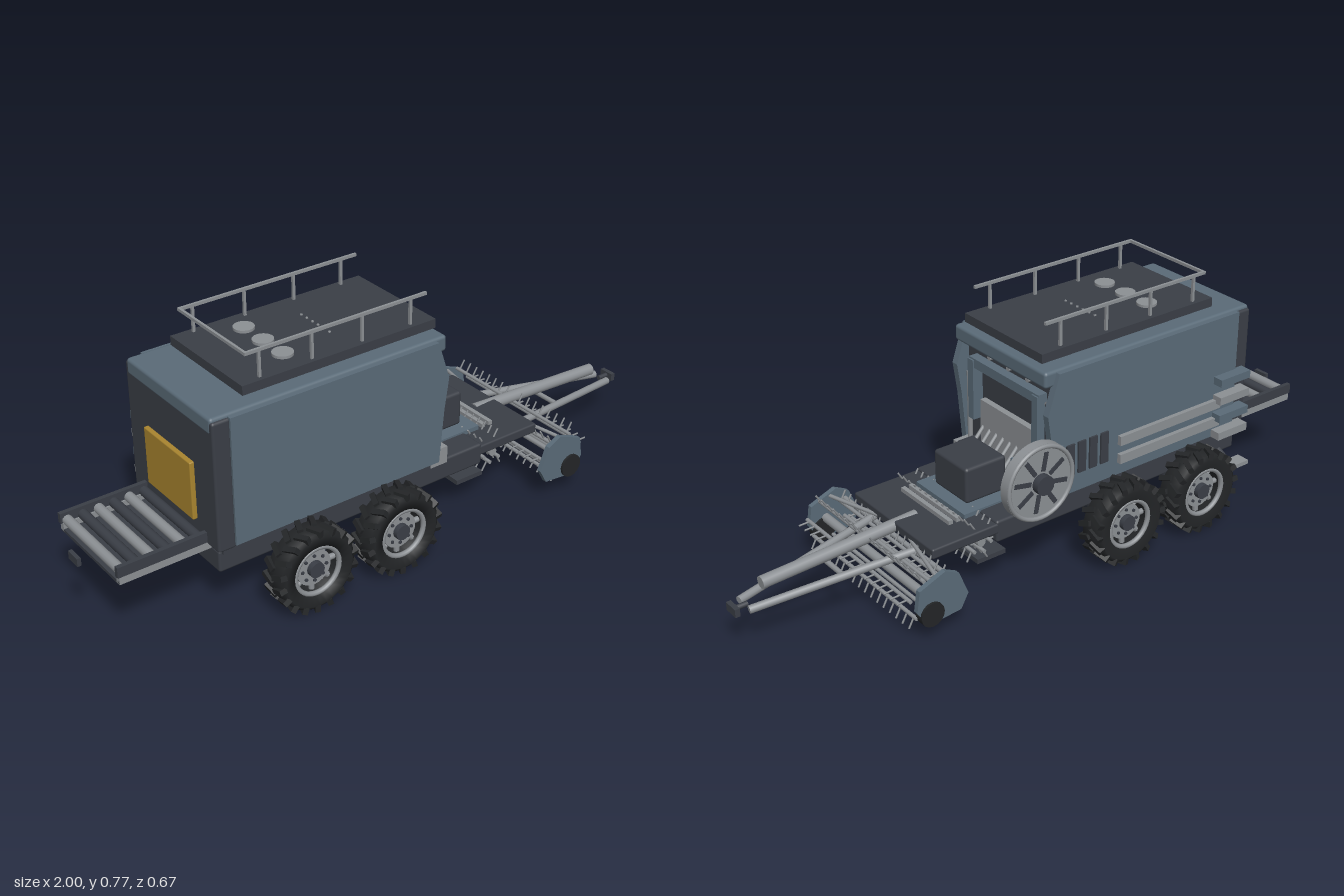
import * as THREE from 'three';
import { RoundedBoxGeometry } from 'three/addons/geometries/RoundedBoxGeometry.js';

const mat = (c) => new THREE.MeshStandardMaterial({ color: c });
const BLUE = mat(0x5a6b78), DARK = mat(0x3a3e46), BLACK = mat(0x232527), GREY = mat(0x8c9094), YELLOW = mat(0xa9852f);

export function createModel() {
  const root = new THREE.Group();
  const group = (name, parent = root) => {
    const g = new THREE.Group();
    g.name = name;
    parent.add(g);
    return g;
  };
  const add = (parent, name, geo, m, x = 0, y = 0, z = 0) => {
    const mesh = new THREE.Mesh(geo, m);
    mesh.name = name;
    mesh.position.set(x, y, z);
    parent.add(mesh);
    return mesh;
  };
  // Box given by its minimum and maximum on each axis, optionally rounded
  const box = (p, name, m, [x0, x1], [y0, y1], [z0, z1], r = 0) => add(p, name,
    r ? new RoundedBoxGeometry(x1 - x0, y1 - y0, z1 - z0, 2, r) : new THREE.BoxGeometry(x1 - x0, y1 - y0, z1 - z0),
    m, (x0 + x1) / 2, (y0 + y1) / 2, (z0 + z1) / 2);
  // Round bar between two points
  const rod = (p, name, m, a, b, r, sides = 8) => {
    const A = new THREE.Vector3(...a), B = new THREE.Vector3(...b), d = B.clone().sub(A);
    const mesh = add(p, name, new THREE.CylinderGeometry(r, r, d.length(), sides), m, ...A.add(B).multiplyScalar(0.5).toArray());
    mesh.quaternion.setFromUnitVectors(new THREE.Vector3(0, 1, 0), d.normalize());
    return mesh;
  };
  // Side profile in x, y extruded from z0 to z1
  const plate = (p, name, m, pts, z0, z1) => add(p, name, new THREE.ExtrudeGeometry(
    new THREE.Shape(pts.map(([x, y]) => new THREE.Vector2(x, y))), { depth: z1 - z0, bevelEnabled: false }), m, 0, 0, z0);

  // Chassis
  const chassis = group('chassis');
  box(chassis, 'bed', DARK, [-0.67, 0.26], [0.16, 0.23], [-0.2, 0.2], 0.008);
  box(chassis, 'frontDeck', DARK, [0.25, 0.48], [0.19, 0.222], [-0.2, 0.2], 0.006);
  box(chassis, 'deckPlate', BLUE, [0.13, 0.315], [0.22, 0.236], [-0.12, 0.12]);
  for (const x of [0.335, 0.362]) box(chassis, 'deckBar', GREY, [x - 0.007, x + 0.007], [0.22, 0.235], [-0.12, 0.12]);
  box(chassis, 'standFoot', DARK, [0.2, 0.3], [0.085, 0.1], [-0.16, 0.16]);
  for (const z of [-0.1, 0.1]) rod(chassis, 'standLeg', GREY, [0.25, 0.095, z], [0.22, 0.18, z], 0.012);
  box(chassis, 'sideStep', GREY, [-0.66, -0.56], [0.137, 0.15], [-0.28, -0.235]);
  rod(chassis, 'stepBracket', DARK, [-0.61, 0.142, -0.25], [-0.61, 0.18, -0.18], 0.008);

  // Wheels with staggered tread lugs
  const tireGeo = new THREE.LatheGeometry([[0.078, -0.036], [0.11, -0.043], [0.122, -0.034], [0.124, 0],
    [0.122, 0.034], [0.11, 0.043], [0.078, 0.036], [0.078, -0.036]].map(([x, y]) => new THREE.Vector2(x, y)), 32);
  const lugGeo = new THREE.BoxGeometry(0.016, 0.022, 0.045);
  for (const x of [-0.432, -0.133]) {
    rod(chassis, 'axle', DARK, [x, 0.135, -0.27], [x, 0.135, 0.27], 0.024, 12);
    for (const s of [-1, 1]) {
      const wheel = group('wheel');
      wheel.position.set(x, 0.135, s * 0.288);
      add(wheel, 'tire', tireGeo, BLACK).rotation.x = Math.PI / 2;
      for (let i = 0; i < 36; i++) {
        const a = i * Math.PI / 18;
        const lug = add(wheel, 'treadLug', lugGeo, BLACK, Math.cos(a) * 0.121, Math.sin(a) * 0.121, i % 2 ? 0.022 : -0.022);
        lug.rotation.set(0, 0, a - Math.PI / 2);
        lug.rotateY(i % 2 ? 0.4 : -0.4);
      }
      add(wheel, 'rimRing', new THREE.TorusGeometry(0.074, 0.008, 8, 32), GREY, 0, 0, s * 0.03);
      rod(wheel, 'rimDisc', GREY, [0, 0, -0.015], [0, 0, 0.015], 0.056, 24);
      rod(wheel, 'hub', DARK, [0, 0, 0], [0, 0, s * 0.032], 0.024, 16);
      for (let i = 0; i < 8; i++) {
        const a = i * Math.PI / 4, c = Math.cos(a), n = Math.sin(a);
        rod(wheel, 'rimSpoke', GREY, [c * 0.05, n * 0.05, 0], [c * 0.077, n * 0.077, 0], 0.009);
        rod(wheel, 'wheelBolt', DARK, [c * 0.04, n * 0.04, s * 0.01], [c * 0.04, n * 0.04, s * 0.02], 0.005, 6);
      }
    }
  }

  // Body shell
  const body = group('body');
  box(body, 'chamber', DARK, [-0.66, 0.055], [0.22, 0.62], [-0.208, 0.208]);
  box(body, 'rearFrame', DARK, [-0.682, -0.625], [0.24, 0.64], [-0.222, 0.222], 0.008);
  const side = [[-0.63, 0.25], [0.07, 0.25], [0.085, 0.42], [0.1, 0.52], [0.06, 0.643], [-0.63, 0.643]];
  plate(body, 'sidePanel', BLUE, side, 0.205, 0.228);
  plate(body, 'sidePanel', BLUE, side, -0.228, -0.205);
  box(body, 'roof', BLUE, [-0.683, 0.1], [0.6, 0.65], [-0.214, 0.214], 0.01);
  box(body, 'rearDoor', YELLOW, [-0.696, -0.68], [0.3, 0.48], [-0.12, 0.12], 0.004);

  // Front opening with feeder
  const front = group('frontOpening');
  box(front, 'archTop', BLUE, [0.05, 0.085], [0.53, 0.56], [-0.165, 0.165]);
  for (const s of [-1, 1]) {
    box(front, 'archSide', BLUE, [0.05, 0.09], [0.36, 0.555], [s * 0.152 - 0.013, s * 0.152 + 0.013]);
    for (const y of [0.495, 0.53]) rod(front, 'bolt', GREY, [0.05, y, s * 0.175], [0.065, y, s * 0.175], 0.008);
    box(front, 'feederSupport', DARK, [0.06, 0.14], [0.22, 0.3], [s * 0.142 - 0.01, s * 0.142 + 0.01]);
  }
  for (const z of [-0.09, 0, 0.09]) rod(front, 'bolt', GREY, [0.05, 0.575, z], [0.068, 0.575, z], 0.008);
  box(front, 'feederPlate', GREY, [0.055, 0.075], [0.22, 0.43], [-0.125, 0.125]);
  box(front, 'feederFloor', GREY, [0.06, 0.14], [0.225, 0.25], [-0.125, 0.125]);
  for (let i = 0; i < 8; i++) {
    const z = -0.115 + i * 0.23 / 7;
    rod(front, 'feederFinger', GREY, [0.07, 0.345, z], [0.145, 0.26, z], 0.006);
  }
  rod(front, 'verticalPipe', GREY, [0.07, 0.26, 0.185], [0.07, 0.5, 0.185], 0.008);
  rod(front, 'cylinder', DARK, [0.06, 0.39, -0.175], [0.06, 0.53, -0.175], 0.008);
  box(front, 'pipeBase', GREY, [0.05, 0.12], [0.22, 0.275], [0.155, 0.205]);
  box(front, 'pipeBase', GREY, [0.05, 0.12], [0.22, 0.255], [-0.21, -0.15]);
  box(front, 'gearbox', DARK, [0.135, 0.278], [0.236, 0.35], [-0.08, 0.08], 0.01);

  // Flywheel with dark radial slots
  const fly = group('flywheel');
  box(fly, 'flywheelMount', BLUE, [0.05, 0.21], [0.27, 0.42], [-0.238, -0.2]);
  fly.add(group('rotor', fly));
  rod(fly, 'disc', GREY, [0.16, 0.355, -0.243], [0.16, 0.355, -0.272], 0.119, 40);
  const rim = add(fly, 'discRim', new THREE.TorusGeometry(0.112, 0.007, 8, 40), GREY, 0.16, 0.355, -0.273);
  rim.name = 'discRim';
  for (let i = 0; i < 8; i++) {
    const slot = add(fly, 'discSlot', new THREE.BoxGeometry(0.058, 0.014, 0.006), DARK, 0.16, 0.355, -0.272);
    slot.rotation.z = i * Math.PI / 4 + 0.2;
    slot.translateX(0.065);
  }
  rod(fly, 'discHub', DARK, [0.16, 0.355, -0.24], [0.16, 0.355, -0.295], 0.03, 16);

  // Fittings on the right side
  const fit = group('sideFittings');
  for (let i = 0; i < 4; i++) {
    box(fit, 'louver', DARK, [-0.12 + i * 0.042, -0.092 + i * 0.042], [0.31, 0.41], [-0.234, -0.225]);
    const y = 0.25 + i * 0.06;
    box(fit, 'sideShelf', i % 2 ? BLUE : GREY, [-0.66, -0.54], [y, y + 0.025], [-0.262, -0.22]);
  }
  for (const y of [0.29, 0.35]) box(fit, 'sideRail', GREY, [-0.56, -0.16], [y, y + 0.03], [-0.242, -0.222]);

  // Roof platform, vents and handrail
  const roof = group('roofPlatform');
  box(roof, 'platform', DARK, [-0.56, 0.085], [0.664, 0.692], [-0.18, 0.18]);
  for (const z of [-0.112, -0.068, -0.022, 0.022, 0.068, 0.112]) {
    rod(roof, 'platformPost', GREY, [-0.25, 0.645, z], [-0.25, 0.67, z], 0.015, 12);
    rod(roof, 'platformBolt', GREY, [-0.2, 0.69, z * 0.6], [-0.2, 0.695, z * 0.6], 0.004);
  }
  for (const z of [-0.095, 0, 0.095]) rod(roof, 'vent', GREY, [-0.375, 0.69, z], [-0.375, 0.7, z], 0.031, 20);
  for (const s of [-1, 1]) {
    const z = s * 0.163;
    box(roof, 'handrail', GREY, [-0.54, 0.062], [0.768, 0.777], [z - 0.004, z + 0.004]);
    for (const x of [-0.495, -0.327, -0.16, 0.007]) box(roof, 'railPost', GREY, [x - 0.004, x + 0.004], [0.69, 0.77], [z - 0.004, z + 0.004]);
  }
  box(roof, 'rearHandrail', GREY, [-0.54, -0.532], [0.768, 0.777], [-0.163, 0.163]);

  // Rear bale chute with rollers
  const chute = group('chute');
  box(chute, 'chuteFloor', DARK, [-0.95, -0.67], [0.222, 0.232], [-0.16, 0.16]);
  for (const s of [-1, 1]) {
    box(chute, 'chuteRail', DARK, [-0.955, -0.67], [0.248, 0.28], [s * 0.158 - 0.007, s * 0.158 + 0.007]);
    box(chute, 'lowerRail', GREY, [-0.95, -0.67], [0.225, 0.25], [s * 0.155 - 0.009, s * 0.155 + 0.009]);
  }
  for (let i = 0; i < 6; i++) {
    const x = -0.935 + i * 0.048;
    rod(chute, 'roller', i % 2 ? DARK : GREY, [x, 0.256, -0.152], [x, 0.256, 0.152], 0.015, 12);
  }
  box(chute, 'rearMarker', DARK, [-1, -0.988], [0.225, 0.25], [-0.025, 0.025]);

  // Tined drums: a ring of bars with radial tines
  const drum = (name, x, y, halfWidth, barR, tineR, bars, tines) => {
    const g = group(name);
    g.position.set(x, y, 0);
    rod(g, 'shaft', GREY, [0, 0, -halfWidth], [0, 0, halfWidth], 0.014, 12);
    for (let i = 0; i < bars; i++) {
      const a = i * Math.PI * 2 / bars + 0.25, c = Math.cos(a), n = Math.sin(a);
      rod(g, 'tineBar', GREY, [c * barR, n * barR, -halfWidth], [c * barR, n * barR, halfWidth], 0.006);
      for (let j = 0; j < tines; j++) {
        const z = (j / (tines - 1) - 0.5) * 2 * (halfWidth - 0.015);
        rod(g, 'tine', GREY, [c * barR, n * barR, z], [c * tineR + n * 0.01, n * tineR - c * 0.01, z], 0.003, 5);
      }
    }
    return g;
  };
  drum('feedRotor', 0.31, 0.18, 0.195, 0.035, 0.07, 6, 14);
  drum('pickupReel', 0.54, 0.125, 0.27, 0.065, 0.1, 6, 17);

  // Pickup end plates and gauge wheels
  const pickup = group('pickupFrame');
  for (const s of [-1, 1]) {
    const z = s * 0.28;
    plate(pickup, 'endPlate', BLUE, [[0.425, 0.11], [0.45, 0.065], [0.56, 0.055], [0.595, 0.11], [0.585, 0.175], [0.5, 0.208], [0.455, 0.185]], z - 0.008, z + 0.008);
    rod(pickup, 'gaugeWheel', BLACK, [0.548, 0.09, z - 0.015], [0.548, 0.09, z + 0.015], 0.038, 16);
    rod(pickup, 'liftArm', GREY, [0.47, 0.2, s * 0.06], [0.52, 0.19, s * 0.275], 0.006);
  }
  rod(pickup, 'crossBar', GREY, [0.47, 0.165, -0.275], [0.47, 0.165, 0.275], 0.008);
  rod(pickup, 'lowerBar', GREY, [0.46, 0.1, -0.275], [0.46, 0.1, 0.275], 0.006);

  // Drawbar, drive shaft and hitch
  const drawbar = group('drawbar');
  rod(drawbar, 'driveShaft', GREY, [0.4, 0.208, 0], [0.905, 0.186, 0], 0.019, 16);
  for (const s of [-1, 1]) {
    rod(drawbar, 'drawbarArm', GREY, [0.4, 0.185, s * 0.125], [0.96, 0.137, s * 0.028], 0.012, 10);
  }
  rod(drawbar, 'drawbarBrace', GREY, [0.69, 0.16, -0.075], [0.69, 0.16, 0.075], 0.008);
  box(drawbar, 'hitch', DARK, [0.985, 1], [0.125, 0.15], [-0.025, 0.025]);
  rod(drawbar, 'hitchPin', DARK, [0.95, 0.138, 0], [0.99, 0.138, 0], 0.008);
  return root;
}
